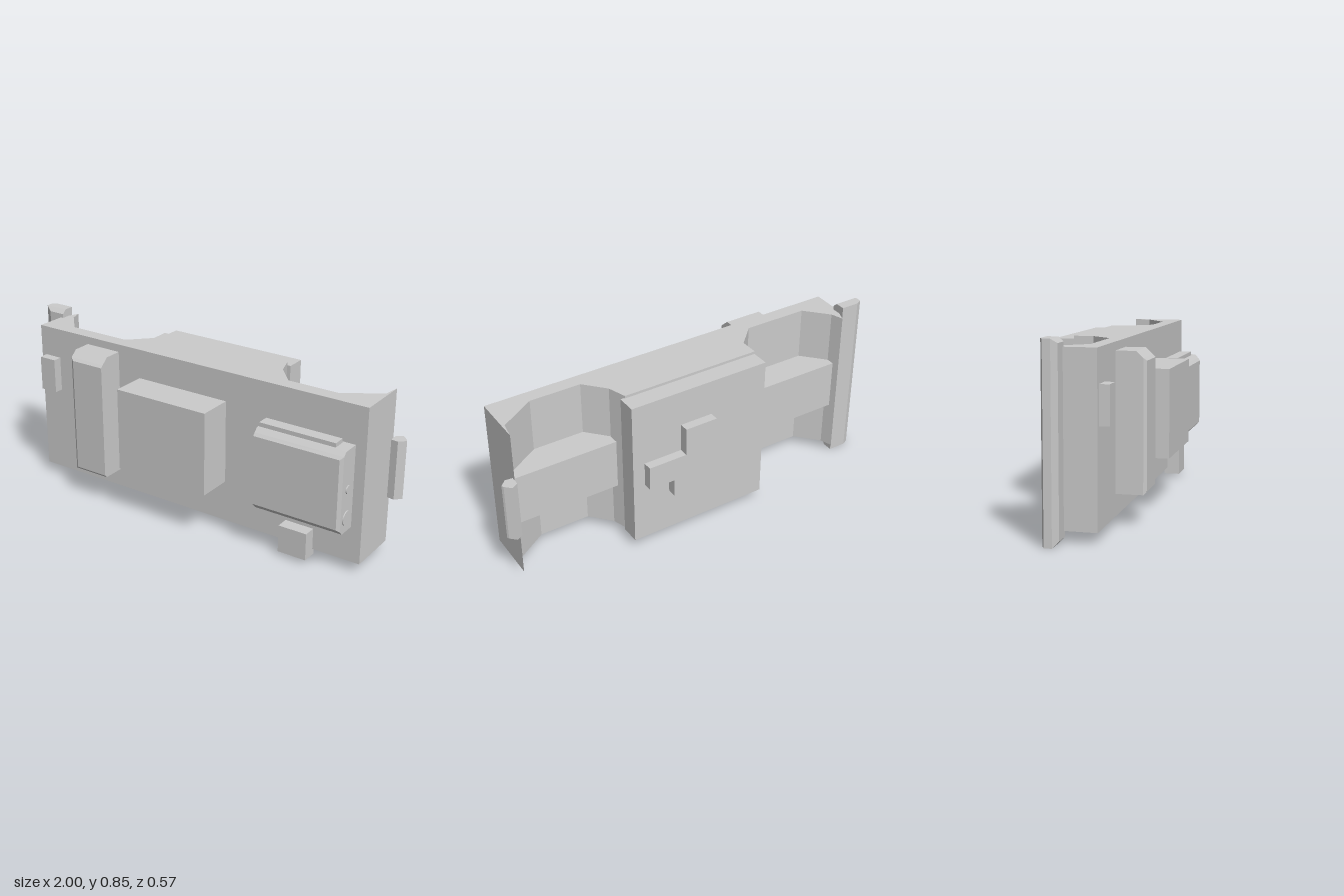
import * as THREE from 'three';
import { ConvexGeometry } from 'three/addons/geometries/ConvexGeometry.js';

const material = new THREE.MeshStandardMaterial({ color: 0xcccccc, flatShading: true });

export function createModel() {
  const model = new THREE.Group();
  model.name = 'wallModule';

  const add = (name, geometry) => {
    const mesh = new THREE.Mesh(geometry, material);
    mesh.name = name;
    model.add(mesh);
    return mesh;
  };

  // Box given by its limits
  const box = (name, x0, x1, y0, y1, z0, z1) =>
    add(name, new THREE.BoxGeometry(x1 - x0, y1 - y0, z1 - z0))
      .position.set((x0 + x1) / 2, (y0 + y1) / 2, (z0 + z1) / 2);

  // Plan outline of [x, z] points raised from y0 to y1
  const prism = (name, outline, y0, y1) => {
    const shape = new THREE.Shape(outline.map(([x, z]) => new THREE.Vector2(x, -z)));
    const geometry = new THREE.ExtrudeGeometry(shape, { depth: y1 - y0, bevelEnabled: false });
    add(name, geometry.rotateX(-Math.PI / 2).translate(0, y0, 0));
  };

  // Chamfered block: convex hull of rectangles [z, x0, x1, y0, y1]
  const chamfered = (name, sections) => {
    const points = sections.flatMap(([z, x0, x1, y0, y1]) =>
      [[x0, y0], [x1, y0], [x1, y1], [x0, y1]].map(([x, y]) => new THREE.Vector3(x, y, z)));
    add(name, new ConvexGeometry(points));
  };

  // Main panel with two recesses in the back
  prism('body', [
    [-0.9, 0.11], [0.935, 0.11], [0.935, -0.15], [0.922, -0.07], [0.75, 0.04], [0.5, 0.04],
    [0.41, -0.06], [0.38, -0.15], [-0.32, -0.15], [-0.32, -0.06], [-0.42, 0.04], [-0.74, 0.04],
    [-0.84, -0.07], [-0.86, -0.13], [-0.895, -0.04],
  ], 0.05, 0.81);

  // Back plate, recess shelves and stepped badge block
  box('backPlate', -0.318, 0.4, 0.055, 0.797, -0.24, -0.145);
  box('leftRecessBlock', 0.41, 0.923, 0.3, 0.55, -0.11, 0.05);
  box('rightRecessBlock', -0.84, -0.318, 0.3, 0.55, -0.11, 0.05);
  const stepped = new THREE.Shape([
    [-0.02, 0.36], [0.04, 0.36], [0.04, 0.27], [0.21, 0.27], [0.21, 0.36],
    [0.34, 0.36], [0.34, 0.48], [0.145, 0.48], [0.145, 0.62], [-0.02, 0.62],
  ].map(([x, y]) => new THREE.Vector2(x, y)));
  add('backSteppedBlock', new THREE.ExtrudeGeometry(stepped, { depth: 0.05, bevelEnabled: false }))
    .position.z = -0.285;

  // Tall end plate and the side handle
  chamfered('endPlate', [
    [-0.105, -0.97, -0.88, 0, 0.85],
    [-0.09, -1, -0.88, 0, 0.85],
    [-0.055, -1, -0.88, 0, 0.85],
    [-0.035, -0.965, -0.88, 0.022, 0.83],
  ]);
  prism('sideHandle', [
    [0.935, -0.13], [0.97, -0.125], [1, -0.155], [0.995, -0.165], [0.967, -0.193], [0.935, -0.175],
  ], 0.285, 0.573);

  // Front housings
  box('smallSwitch', -0.873, -0.783, 0.488, 0.66, 0.1, 0.155);
  chamfered('tallHousing', [
    [0.1, -0.597, -0.405, 0.15, 0.772],
    [0.2, -0.597, -0.405, 0.15, 0.772],
    [0.233, -0.597, -0.405, 0.15, 0.742],
    [0.245, -0.58, -0.405, 0.163, 0.73],
  ]);
  box('centreBox', -0.28, 0.215, 0.255, 0.665, 0.1, 0.283);
  box('lowerBox', 0.55, 0.695, 0.02, 0.155, 0.095, 0.173);

  // Control unit with its inner strip and side knobs
  chamfered('controlUnit', [
    [0.1, 0.437, 0.883, 0.225, 0.625],
    [0.195, 0.437, 0.883, 0.225, 0.625],
    [0.213, 0.437, 0.883, 0.243, 0.607],
    [0.225, 0.437, 0.868, 0.255, 0.593],
  ]);
  box('controlStrip', 0.44, 0.825, 0.212, 0.645, 0.123, 0.183);
  for (const [name, y, radius] of [['smallKnob', 0.433, 0.02], ['largeKnob', 0.293, 0.036]]) {
    const knob = add(name, new THREE.CylinderGeometry(radius, radius, 0.02, 24));
    knob.rotation.z = Math.PI / 2;
    knob.position.set(0.878, y, 0.162);
  }

  return model;
}
